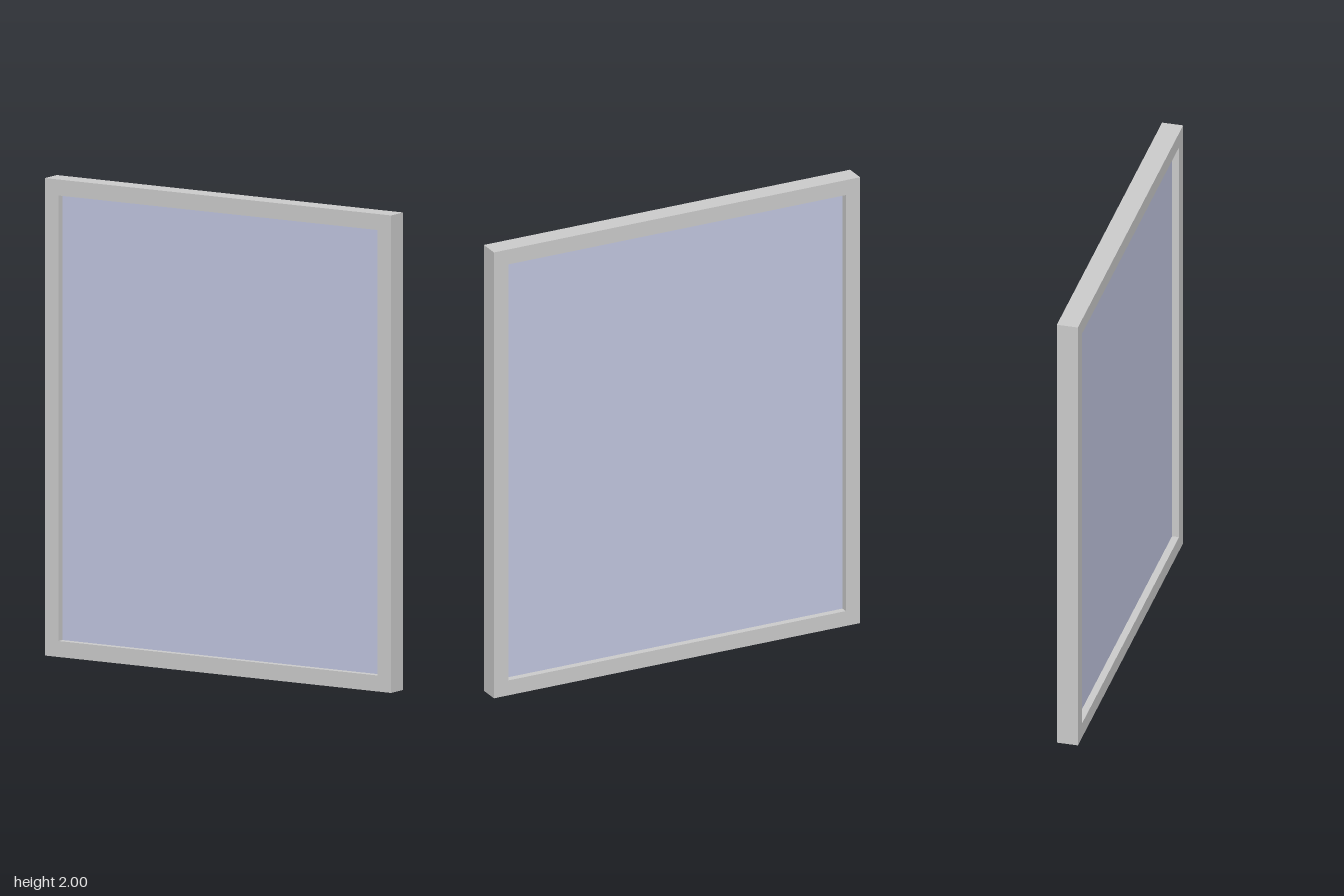
import * as THREE from 'three';

const W = 1.71, H = 2, DEPTH = 0.09, BORDER = 0.067, PANE = 0.03;

// Rectangle outline centred on x, from y0 to y1
function rect(path, halfW, y0, y1) {
  path.moveTo(-halfW, y0);
  path.lineTo(halfW, y0);
  path.lineTo(halfW, y1);
  path.lineTo(-halfW, y1);
  path.closePath();
  return path;
}

export function createModel() {
  const group = new THREE.Group();
  group.name = 'framedWindow';

  // Square-edged surround with a rectangular opening
  const outline = rect(new THREE.Shape(), W / 2, 0, H);
  outline.holes.push(rect(new THREE.Path(), W / 2 - BORDER, BORDER, H - BORDER));
  const frameGeo = new THREE.ExtrudeGeometry(outline, { depth: DEPTH, bevelEnabled: false });
  frameGeo.translate(0, 0, -DEPTH / 2);
  const frame = new THREE.Mesh(frameGeo, new THREE.MeshStandardMaterial({ color: 0xcccccc }));
  frame.name = 'frame';

  // Blue-grey pane, recessed equally on both sides
  const pane = new THREE.Mesh(
    new THREE.BoxGeometry(W - 2 * BORDER, H - 2 * BORDER, PANE),
    new THREE.MeshStandardMaterial({ color: 0xc1c6e0 })
  );
  pane.position.y = H / 2;
  pane.name = 'pane';

  group.add(frame, pane);
  return group;
}
